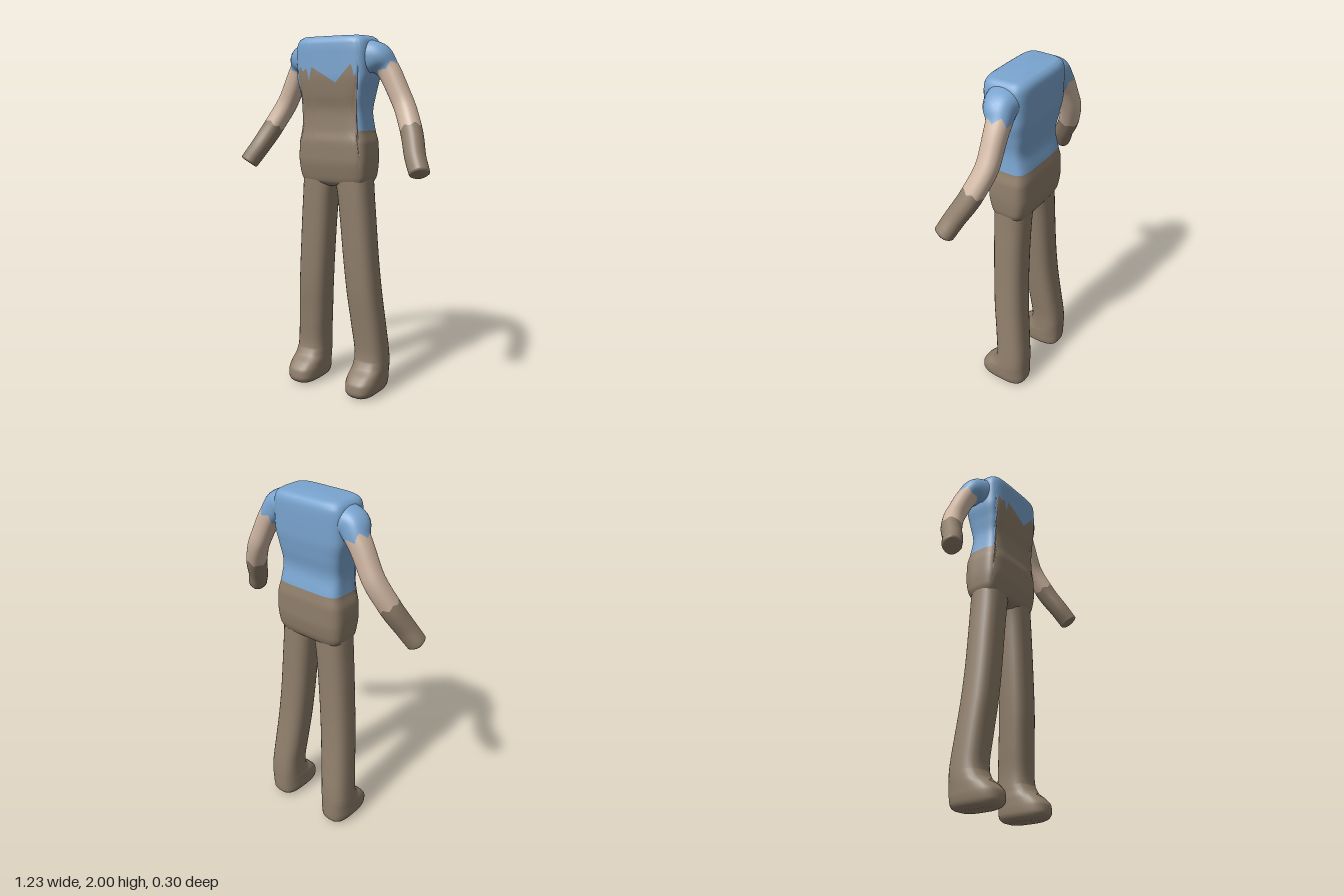
import * as THREE from 'three';

const mat = (name, color) => {
  const m = new THREE.MeshStandardMaterial({ color });
  m.name = name;
  return m;
};

// Monotone cubic interpolation of a table whose first column is the key
function sample(table, s) {
  const n = table.length;
  let k = 0;
  while (k < n - 2 && s > table[k + 1][0]) k++;
  const slope = (i, c) => (table[i + 1][c] - table[i][c]) / (table[i + 1][0] - table[i][0]);
  const tangent = (i, c) => {
    if (i === 0) return slope(0, c);
    if (i === n - 1) return slope(n - 2, c);
    const a = slope(i - 1, c), b = slope(i, c);
    return a * b <= 0 ? 0 : (2 * a * b) / (a + b);
  };
  const h = table[k + 1][0] - table[k][0];
  const t = Math.min(1, Math.max(0, (s - table[k][0]) / h));
  const t2 = t * t, t3 = t2 * t;
  return table[k].map((v, c) => c === 0 ? s :
    (2 * t3 - 3 * t2 + 1) * v + (t3 - 2 * t2 + t) * h * tangent(k, c) +
    (3 * t2 - 2 * t3) * table[k + 1][c] + (t3 - t2) * h * tangent(k + 1, c));
}

// Point on a rounded square of half width 1
function ring(a, n) {
  const c = Math.cos(a), s = Math.sin(a);
  const r = (Math.abs(c) ** n + Math.abs(s) ** n) ** (-1 / n);
  return [r * c, r * s];
}

// Closed tube of bands; each bound gives the key where a colour ends at an angle
function loft(name, surface, bounds, rows, cols, materials, side = 1) {
  const pos = [], idx = [], geo = new THREE.BufferGeometry();
  const levels = [];
  bounds.slice(1).forEach((_, b) => {
    for (let j = b ? 1 : 0; j <= rows[b]; j++) levels.push([b, j / rows[b]]);
  });
  for (const [b, t] of levels) {
    for (let i = 0; i < cols; i++) {
      const a = (i / cols) * Math.PI * 2;
      const p = surface(a, THREE.MathUtils.lerp(bounds[b](a), bounds[b + 1](a), t));
      pos.push(p.x * side, p.y, p.z);
    }
  }
  const tri = (a, b, c) => (side > 0 ? idx.push(a, b, c) : idx.push(a, c, b));
  const cap = (row, up) => {
    const centre = new THREE.Vector3(), base = row * cols;
    for (let i = 0; i < cols; i++) centre.add(new THREE.Vector3().fromArray(pos, (base + i) * 3));
    centre.divideScalar(cols);
    const k = pos.length / 3;
    pos.push(centre.x, centre.y, centre.z);
    for (let i = 0; i < cols; i++) {
      const p = base + i, q = base + (i + 1) % cols;
      up ? tri(k, q, p) : tri(k, p, q);
    }
  };
  let row = 0;
  rows.forEach((count, b) => {
    const start = idx.length;
    if (b === 0) cap(0, false);
    for (let j = 0; j < count; j++, row++) {
      for (let i = 0; i < cols; i++) {
        const p = row * cols + i, q = row * cols + (i + 1) % cols;
        tri(p, p + cols, q);
        tri(q, p + cols, q + cols);
      }
    }
    if (b === rows.length - 1) cap(row, true);
    geo.addGroup(start, idx.length - start, b);
  });
  geo.setAttribute('position', new THREE.Float32BufferAttribute(pos, 3));
  geo.setIndex(idx);
  geo.computeVertexNormals();
  const mesh = new THREE.Mesh(geo, materials);
  mesh.name = name;
  return mesh;
}

// Upright surface from rows of [y, x min, x max, z back, z front]
const upright = (table, n) => (a, y) => {
  const [, x0, x1, z0, z1] = sample(table, y);
  const [u, v] = ring(a, n);
  return new THREE.Vector3((x0 + x1) / 2 + u * (x1 - x0) / 2, y, (z0 + z1) / 2 + v * (z1 - z0) / 2);
};

const TORSO = [
  [1.19, -0.15, 0.15, -0.07, 0.05], [1.21, -0.195, 0.195, -0.1, 0.08],
  [1.26, -0.215, 0.215, -0.12, 0.095], [1.34, -0.22, 0.22, -0.13, 0.108],
  [1.43, -0.216, 0.216, -0.13, 0.108], [1.5, -0.2, 0.2, -0.12, 0.097],
  [1.6, -0.192, 0.192, -0.102, 0.092], [1.7, -0.206, 0.206, -0.118, 0.108],
  [1.8, -0.225, 0.225, -0.13, 0.117], [1.92, -0.225, 0.225, -0.132, 0.117],
  [1.96, -0.22, 0.22, -0.13, 0.115], [1.985, -0.208, 0.208, -0.12, 0.105],
  [2, -0.185, 0.185, -0.1, 0.085],
];
const LEG = [
  [0, 0.15, 0.25, -0.1, 0.1], [0.012, 0.128, 0.275, -0.135, 0.13],
  [0.04, 0.113, 0.29, -0.15, 0.146], [0.08, 0.11, 0.295, -0.152, 0.142],
  [0.12, 0.11, 0.295, -0.152, 0.11], [0.16, 0.112, 0.294, -0.152, 0.06],
  [0.22, 0.112, 0.29, -0.15, 0.035], [0.4, 0.095, 0.275, -0.132, 0.047],
  [0.6, 0.075, 0.257, -0.113, 0.066], [0.8, 0.057, 0.24, -0.103, 0.075],
  [1, 0.04, 0.225, -0.1, 0.08], [1.12, 0.028, 0.215, -0.1, 0.083],
  [1.28, 0, 0.205, -0.1, 0.085],
];
// Arm centre line and radius: [key, x, y, z, radius]
const ARM = [
  [0, 0.14, 1.89, -0.01, 0.1], [1, 0.235, 1.88, -0.025, 0.086],
  [2, 0.293, 1.82, -0.048, 0.06], [3, 0.375, 1.67, -0.05, 0.056],
  [4, 0.46, 1.51, -0.005, 0.056], [5, 0.525, 1.375, 0.065, 0.053],
  [5.9, 0.568, 1.3, 0.1, 0.051], [6, 0.57, 1.295, 0.103, 0.042],
];

// Ragged hem across the chest: [x, y]
const HEM = [
  [-0.19, 1.5], [-0.18, 1.76], [-0.165, 1.85], [-0.14, 1.81], [-0.12, 1.845],
  [-0.105, 1.755], [-0.09, 1.84], [0.06, 1.755], [0.15, 1.855], [0.17, 1.77],
  [0.18, 1.84], [0.19, 1.5],
];
function shirtHem(a) {
  const [u, v] = ring(a, 5);
  const x = u * 0.21;
  if (v < 0 || Math.abs(x) >= 0.19) return 1.5;
  const k = HEM.findIndex((p) => p[0] > x);
  const [p, q] = [HEM[k - 1], HEM[k]];
  return p[1] + (q[1] - p[1]) * (x - p[0]) / (q[0] - p[0]);
}

function armSurface(a, s) {
  const [, x, y, z, r] = sample(ARM, s);
  const p = sample(ARM, Math.max(0, s - 0.2)), q = sample(ARM, Math.min(6, s + 0.2));
  const along = new THREE.Vector3(q[1] - p[1], q[2] - p[2], q[3] - p[3]).normalize();
  const e1 = new THREE.Vector3(0, 0, 1).cross(along).normalize();
  const e2 = e1.clone().cross(along);
  const [u, v] = ring(a, 2.4);
  return new THREE.Vector3(x, y, z).addScaledVector(e1, u * r).addScaledVector(e2, v * r);
}

// Triangle wave for ragged edges
const zigzag = (a, teeth) => Math.abs(((a / (Math.PI * 2)) * teeth) % 1 - 0.5) * 4 - 1;

export function createModel() {
  const group = new THREE.Group();
  const blue = mat('blue shirt', 0x7aa5d0);
  const brown = mat('brown cloth', 0x8f7e6b);
  const skin = mat('skin', 0xcfb6a2);

  group.add(loft('torso', upright(TORSO, 5), [() => 1.19, shirtHem, () => 2],
    [36, 36], 160, [brown, blue]));

  for (const side of [1, -1]) {
    const label = side > 0 ? 'left' : 'right';
    group.add(loft(label + 'Leg', upright(LEG, 3), [() => 0, () => 0.2, () => 1.28],
      [24, 30], 36, [brown, brown], side));
    group.add(loft(label + 'Arm', armSurface,
      [() => 0, (a) => 1.9 + 0.14 * zigzag(a, 5), (a) => 3.95 + 0.05 * zigzag(a, 6), () => 6],
      [14, 14, 20], 40, [blue, skin, brown], side));
  }
  return group;
}
